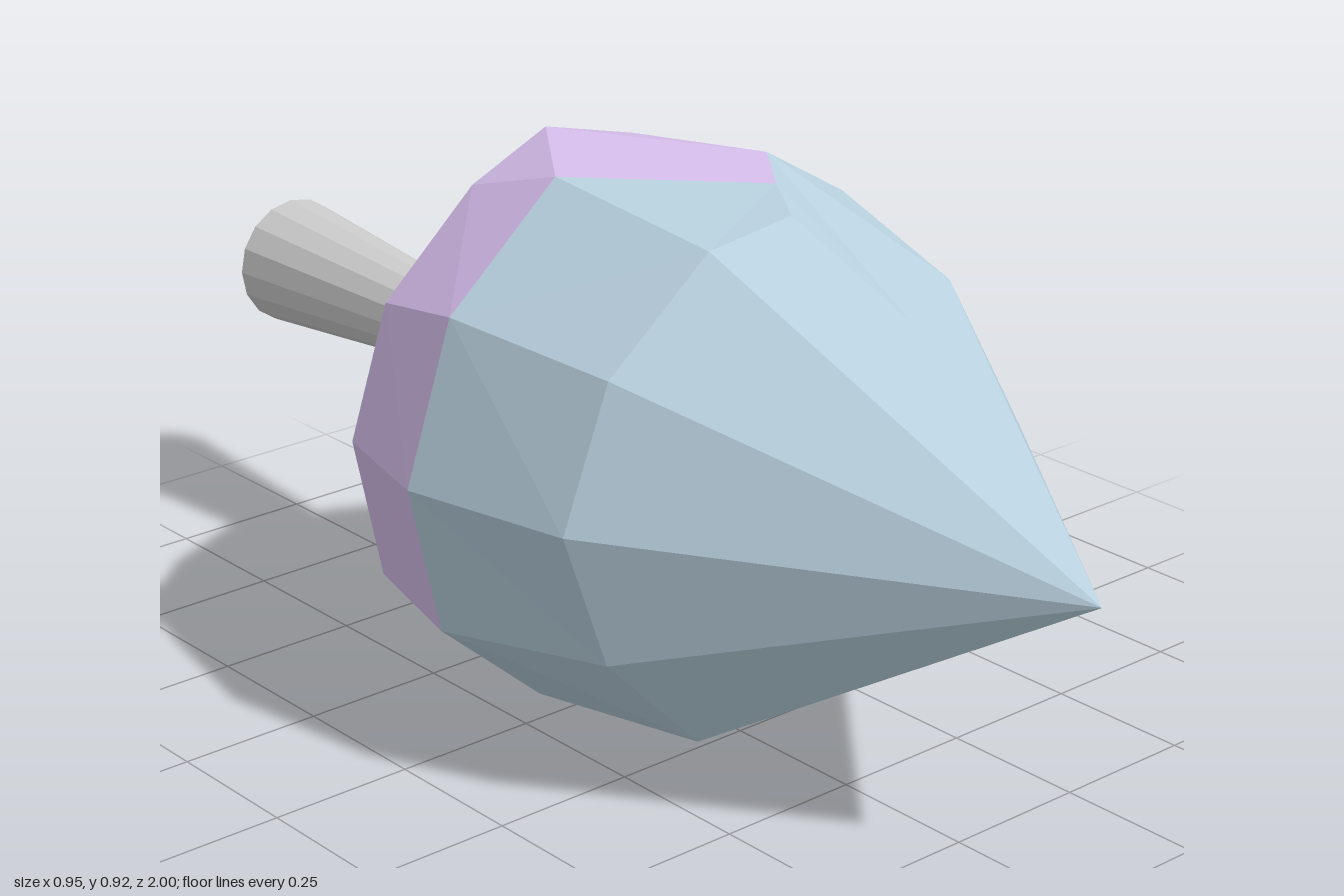
import * as THREE from 'three';

const SIDES = 12;

// Cross-sections from front to back, counter-clockwise from the model's left (+x).
const shoulder = [
  [0.30, 0.56, 0.56], [0.29, 0.76, 0.41], [0.08, 0.77, 0.54], [0.03, 0.90, 0.32],
  [-0.14, 0.88, 0.32], [-0.34, 0.72, 0.32], [-0.43, 0.49, 0.32], [-0.37, 0.27, 0.35],
  [-0.21, 0.10, 0.38], [0.05, 0.10, 0.39], [0.30, 0.14, 0.32], [0.39, 0.37, 0.40],
];
const seam = [
  [0.445, 0.595, 0.15], [0.35, 0.82, 0.10], [0.18, 0.92, 0.10], [0.09, 0.915, 0.22],
  [-0.16, 0.92, -0.02], [-0.39, 0.745, 0], [-0.48, 0.48, 0], [-0.42, 0.22, 0],
  [-0.22, 0.045, 0], [0.04, 0, -0.02], [0.315, 0.11, 0], [0.475, 0.335, 0],
];
const rear = [
  [0.42, 0.60, -0.17], [0.33, 0.80, -0.21], [0.17, 0.88, -0.22], [0, 0.92, -0.24],
  [-0.17, 0.86, -0.22], [-0.35, 0.70, -0.22], [-0.41, 0.47, -0.24], [-0.37, 0.23, -0.22],
  [-0.20, 0.08, -0.25], [0.03, 0.07, -0.30], [0.26, 0.14, -0.29], [0.38, 0.34, -0.29],
];
// Small, slightly lopsided ring around the stem
const crown = Array.from({ length: SIDES }, (_, i) => {
  const a = (i / SIDES) * Math.PI * 2;
  return [0.06 + 0.13 * Math.cos(a), 0.47 + 0.09 * Math.sin(a), -0.425];
});
const tip = Array(SIDES).fill([0.015, 0.48, 1]);
const base = Array(SIDES).fill([0.03, 0.48, -0.44]);

// Distance of an edge's midpoint from the middle of the body
function reach(p, q) {
  return Math.hypot((p[0] + q[0]) / 2, (p[1] + q[1]) / 2 - 0.47, (p[2] + q[2]) / 2);
}

// Joins neighbouring rings with facets, splitting each quad along its outer diagonal
function loft(rings) {
  const pos = [];
  const tri = (...corners) => {
    const [a, b, c] = corners;
    if (a !== b && b !== c && c !== a) corners.forEach((p) => pos.push(...p));
  };
  for (let r = 0; r < rings.length - 1; r++) {
    for (let i = 0; i < SIDES; i++) {
      const j = (i + 1) % SIDES;
      const a = rings[r][i], b = rings[r + 1][i], c = rings[r + 1][j], d = rings[r][j];
      if (reach(a, c) > reach(b, d)) {
        tri(a, b, c);
        tri(a, c, d);
      } else {
        tri(a, b, d);
        tri(b, c, d);
      }
    }
  }
  const geometry = new THREE.BufferGeometry();
  geometry.setAttribute('position', new THREE.Float32BufferAttribute(pos, 3));
  geometry.computeVertexNormals();
  return geometry;
}

function part(name, geometry, color) {
  const material = new THREE.MeshStandardMaterial({ color, flatShading: true });
  const mesh = new THREE.Mesh(geometry, material);
  mesh.name = name;
  return mesh;
}

export function createModel() {
  const model = new THREE.Group();
  model.name = 'facetedBud';

  // Pointed front half and rounded rear half
  model.add(part('pointedFront', loft([tip, shoulder, seam]), 0xb8d0de));
  model.add(part('roundedBack', loft([seam, rear, crown, base]), 0xd8c0ee));

  // Stem, widening toward its free end
  const stem = part('stem', new THREE.CylinderGeometry(0.06, 0.115, 0.6, 16), 0xcccccc);
  stem.rotation.x = Math.PI / 2;
  stem.position.set(0.015, 0.487, -0.7);
  model.add(stem);

  return model;
}
